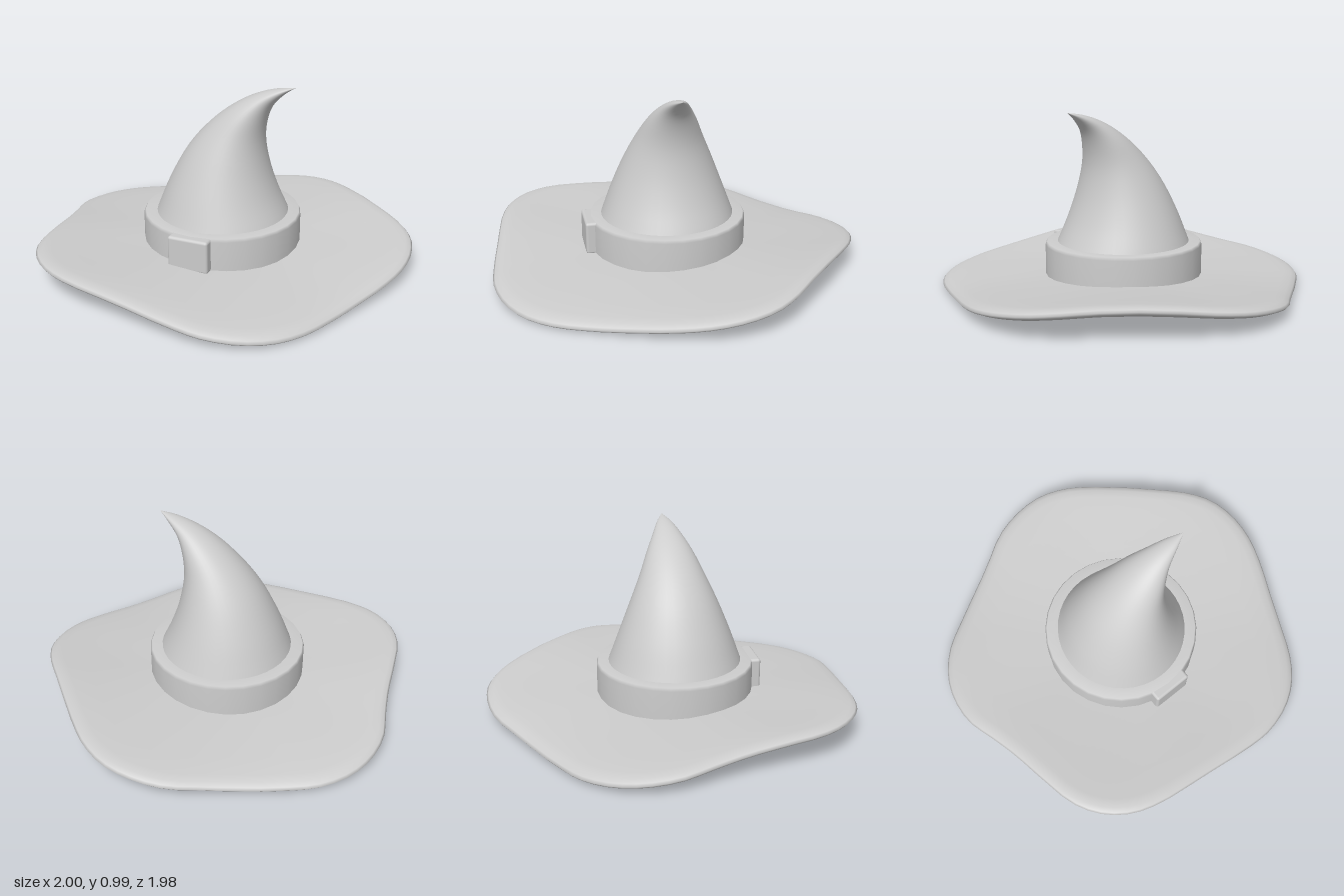
import * as THREE from 'three';
import { RoundedBoxGeometry } from 'three/addons/geometries/RoundedBoxGeometry.js';

const CX = -0.02, CZ = 0.03; // axis of the crown

// Skins a stack of closed rings, each an array of Vector3, with smooth normals.
function loft(rings) {
  const n = rings[0].length;
  const index = [];
  for (let i = 0; i < rings.length - 1; i++) {
    for (let j = 0; j < n; j++) {
      const k = (j + 1) % n;
      const a = i * n + j, b = i * n + k, c = a + n, d = b + n;
      index.push(a, c, b, b, c, d);
    }
  }
  const geometry = new THREE.BufferGeometry().setFromPoints(rings.flat());
  geometry.setIndex(index);
  geometry.computeVertexNormals();
  return geometry;
}

// Wavy five-cornered brim, bent like a saddle, with a rounded edge.
function brimGeometry() {
  const outline = [
    [0.985, 0.03], [0.936, 0.19], [0.85, 0.385], [0.77, 0.567], [0.69, 0.73], [0.588, 0.855],
    [0.455, 0.94], [0.29, 0.985], [0.15, 0.985], [-0.16, 0.95], [-0.465, 0.91], [-0.62, 0.855],
    [-0.745, 0.755], [-0.83, 0.615], [-0.877, 0.41], [-0.915, 0.2], [-0.957, 0.037], [-1, -0.12],
    [-0.99, -0.29], [-0.935, -0.433], [-0.83, -0.56], [-0.695, -0.65], [-0.353, -0.845],
    [-0.176, -0.95], [-0.01, -0.99], [0.15, -0.985], [0.3, -0.925], [0.43, -0.83], [0.73, -0.555],
    [0.87, -0.42], [0.957, -0.29], [0.995, -0.13],
  ].map(([x, z]) => new THREE.Vector3(x, 0, z));
  const edge = new THREE.CatmullRomCurve3(outline, true).getPoints(72).slice(0, 72);
  // distance from the centre, height above the middle surface
  const half = [[0.001, 0.03], [0.2, 0.03], [0.4, 0.03], [0.6, 0.03], [0.8, 0.03], [0.92, 0.029], [0.965, 0.023], [0.99, 0.012]];
  const profile = [...half.map(([t, h]) => [t, -h]), [1, 0], ...half.reverse()];
  return loft(profile.map(([t, h]) => edge.map((p) => {
    const saddle = -2 * p.x * p.z / (p.x * p.x + p.z * p.z);
    const y = 0.08 + 0.02 * t + 0.065 * saddle * t * t + h;
    return new THREE.Vector3(CX + (p.x - CX) * t, y, CZ + (p.z - CZ) * t);
  })));
}

// Crown that narrows and curls to one side; rings span an outer and an inner curve.
function crownGeometry() {
  // x, y and half depth on the outer curve
  const outer = new THREE.CatmullRomCurve3([
    [-0.375, 0.28, 0.362], [-0.30, 0.46, 0.305], [-0.20, 0.64, 0.24], [-0.08, 0.78, 0.177],
    [0.05, 0.885, 0.127], [0.17, 0.95, 0.08], [0.28, 0.985, 0.04], [0.38, 1.0, 0.001],
  ].map((p) => new THREE.Vector3(...p)));
  const inner = new THREE.CatmullRomCurve3([
    [0.34, 0.28], [0.28, 0.41], [0.235, 0.55], [0.214, 0.69],
    [0.225, 0.80], [0.26, 0.89], [0.325, 0.96], [0.381, 0.999],
  ].map(([x, y]) => new THREE.Vector3(x, y, 0)));
  const rings = [];
  for (let i = 0; i <= 28; i++) {
    const a = outer.getPoint(i / 28), b = inner.getPoint(i / 28);
    const ring = [];
    for (let j = 0; j < 40; j++) {
      const angle = (j / 40) * Math.PI * 2;
      const s = (1 + Math.cos(angle)) / 2;
      ring.push(new THREE.Vector3(a.x + (b.x - a.x) * s, a.y + (b.y - a.y) * s, CZ + a.z * Math.sin(angle)));
    }
    rings.push(ring);
  }
  return loft(rings);
}

export function createModel() {
  const felt = new THREE.MeshStandardMaterial({ color: 0xcccccc });
  felt.name = 'plain grey';
  const hat = new THREE.Group();
  hat.name = 'pointedHat';
  const add = (name, geometry, x = 0, y = 0, z = 0) => {
    const mesh = new THREE.Mesh(geometry, felt);
    mesh.name = name;
    mesh.position.set(x, y, z);
    hat.add(mesh);
  };

  add('brim', brimGeometry());
  add('crown', crownGeometry());

  // Band with a softly shaded ledge around the crown
  const band = [[0.427, 0.06], [0.427, 0.268], [0.418, 0.284], [0.34, 0.284]];
  add('band', new THREE.LatheGeometry(band.map(([r, y]) => new THREE.Vector2(r, y)), 28), CX, 0, CZ);

  // Buckle plate on the front of the band
  add('buckle', new RoundedBoxGeometry(0.222, 0.178, 0.07, 3, 0.015), CX, 0.195, 0.455);
  return hat;
}
